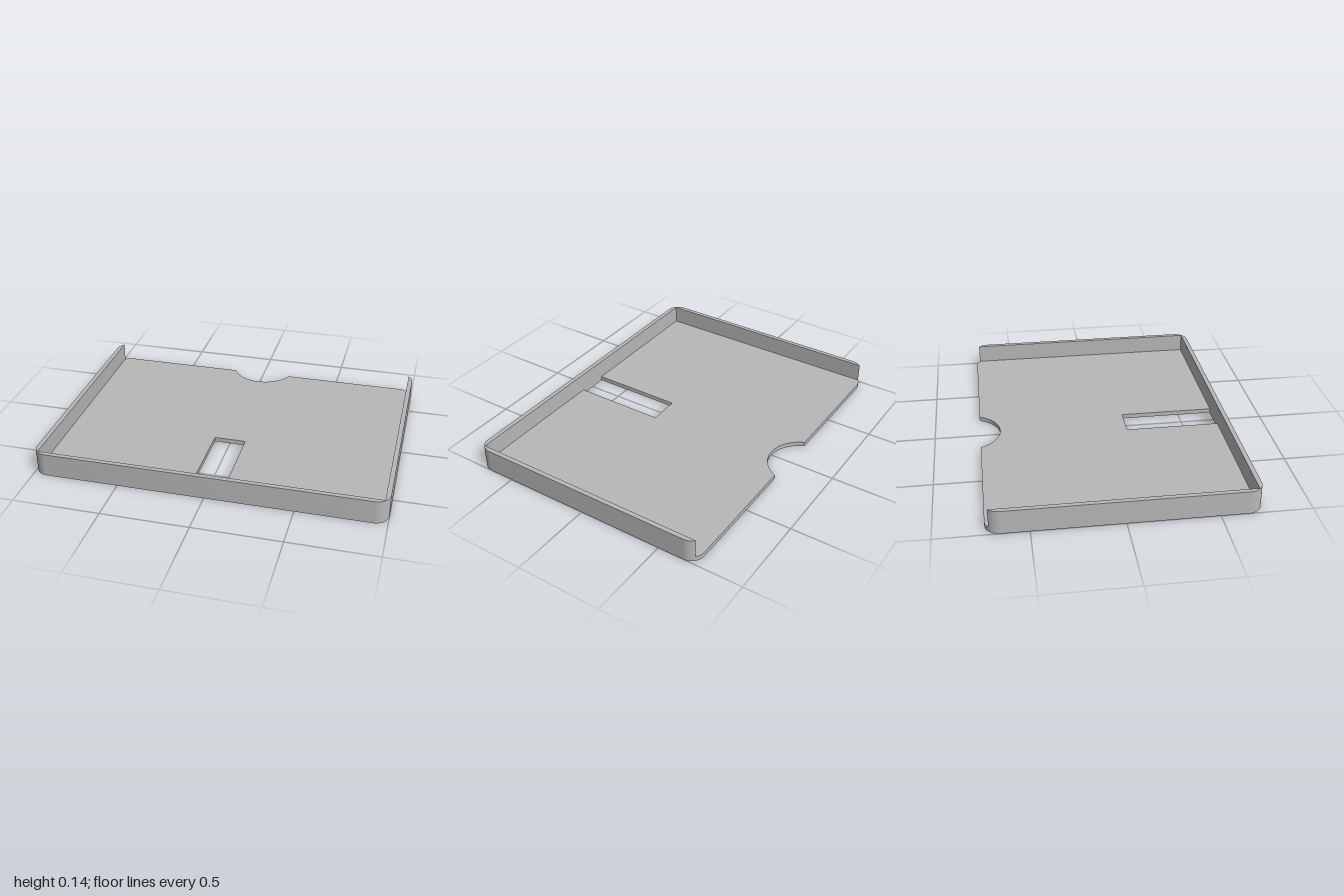
import * as THREE from 'three';
import { toCreasedNormals } from 'three/addons/utils/BufferGeometryUtils.js';

const W = 1, D = 0.731;          // half width and half depth
const R = 0.08;                  // outer corner radius
const T = 0.027;                 // floor and wall thickness
const H = 0.137;                 // overall height
const CX = W - R, CZ = D - R;    // corner arc centres
const PI = Math.PI;

// Extrude a plan drawn in (x, z) upwards from y0 to y1
function slab(name, shape, y0, y1, material) {
  const geo = new THREE.ExtrudeGeometry(shape, { depth: y1 - y0, bevelEnabled: false, curveSegments: 20 });
  geo.rotateX(PI / 2).translate(0, y1, 0);
  const mesh = new THREE.Mesh(toCreasedNormals(geo, 0.5), material);
  mesh.name = name;
  return mesh;
}

// Rounded floor with a thumb notch at the back and a slot at the front
function floorShape() {
  const s = new THREE.Shape();
  s.moveTo(CX, -D);
  s.absarc(CX, -CZ, R, -PI / 2, 0, false);
  s.absarc(CX, CZ, R, 0, PI / 2, false);
  s.absarc(-CX, CZ, R, PI / 2, PI, false);
  s.absarc(-CX, -CZ, R, PI, 1.5 * PI, false);
  const notchR = 0.197, notchZ = -0.808;
  const a = Math.asin((-D - notchZ) / notchR);
  s.absarc(0, notchZ, notchR, PI - a, a, true);
  s.closePath();

  const slot = new THREE.Path();
  const sx = 0.093, z0 = 0.147, z1 = D - T;
  slot.moveTo(-sx, z0).lineTo(-sx, z1).lineTo(sx, z1).lineTo(sx, z0).closePath();
  s.holes.push(slot);
  return s;
}

// U-shaped wall: rounded outside, square inside, open at the back
function wallShape() {
  const s = new THREE.Shape();
  const a = Math.acos((R - T) / R);
  const ix = W - T, iz = D - T;
  s.moveTo(ix, -CZ - R * Math.sin(a));
  s.absarc(CX, -CZ, R, -a, 0, false);
  s.absarc(CX, CZ, R, 0, PI / 2, false);
  s.absarc(-CX, CZ, R, PI / 2, PI, false);
  s.absarc(-CX, -CZ, R, PI, PI + a, false);
  s.lineTo(-ix, iz);
  s.lineTo(ix, iz);
  s.closePath();
  return s;
}

export function createModel() {
  const group = new THREE.Group();
  group.name = 'tray';
  const grey = new THREE.MeshStandardMaterial({ color: 0xb8b8b8 });
  grey.name = 'light grey';
  group.add(slab('floor', floorShape(), 0, T, grey));
  group.add(slab('wall', wallShape(), T, H, grey));
  return group;
}
